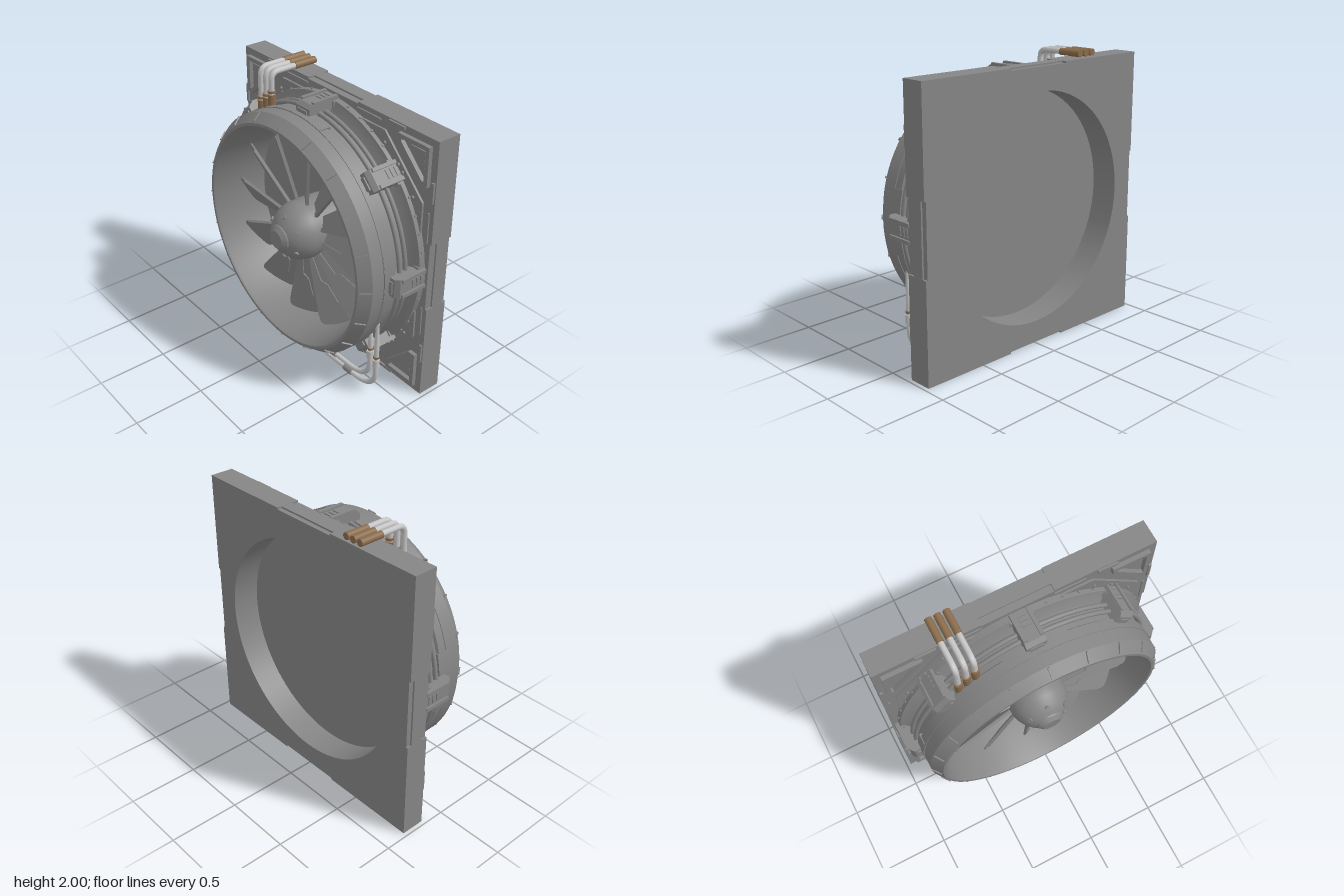
import * as THREE from 'three';
import { toCreasedNormals } from 'three/addons/utils/BufferGeometryUtils.js';

const mat = (name, color) => {
  const m = new THREE.MeshStandardMaterial({ color });
  m.name = name;
  return m;
};
const CY = 0.97; // height of the fan axis

export function createModel() {
  const metal = mat('grey metal', 0x858585);
  const steel = mat('light pipe steel', 0xc4c4c4);
  const bronze = mat('brown sleeve', 0x8a6c4c);

  const root = new THREE.Group();
  root.name = 'ductFan';
  const body = new THREE.Group(); // centred on the fan axis
  body.name = 'fanBody';
  body.position.y = CY;
  root.add(body);

  const add = (parent, name, geo, material, x = 0, y = 0, z = 0) => {
    const m = new THREE.Mesh(geo, material);
    m.name = name;
    m.position.set(x, y, z);
    parent.add(m);
    return m;
  };
  const box = (parent, name, w, h, d, x, y, z, m = metal) =>
    add(parent, name, new THREE.BoxGeometry(w, h, d), m, x, y, z);
  const shapeOf = pts => new THREE.Shape(pts.map(p => new THREE.Vector2(...p)));
  const extrude = (shape, depth, curveSegments = 48) =>
    new THREE.ExtrudeGeometry(shape, { depth, bevelEnabled: false, curveSegments });
  // Profile of [radius, z] turned about the z axis
  const turned = (pts, seg = 96) => toCreasedNormals(
    new THREE.LatheGeometry(pts.map(p => new THREE.Vector2(...p)), seg).rotateX(Math.PI / 2), 0.4);
  // Group turned to an angle about the fan axis; its +x points outwards
  const spoke = (name, angle) => {
    const g = new THREE.Group();
    g.name = name;
    g.rotation.z = angle;
    body.add(g);
    return g;
  };
  // Curved panel between two radii
  const arcPanel = (r0, r1, a, half, depth) => {
    const s = new THREE.Shape();
    s.absarc(0, 0, r1, a - half, a + half, false);
    s.absarc(0, 0, r0, a + half, a - half, true);
    return toCreasedNormals(extrude(s, depth, 16), 0.4);
  };

  // Square back plate with edge notches and round opening
  const side = [[0.97, -0.97], [0.97, -0.25], [0.957, -0.25], [0.957, 0.25], [0.97, 0.25]];
  const outline = [];
  for (let k = 0; k < 4; k++) for (const [x, y] of side) {
    const c = [1, 0, -1, 0][k], s = [0, 1, 0, -1][k];
    outline.push([x * c - y * s, x * s + y * c]);
  }
  const plate = shapeOf(outline);
  plate.holes.push(new THREE.Path().absarc(0, 0, 0.8, 0, Math.PI * 2, true));
  add(body, 'backPlate', toCreasedNormals(extrude(plate, 0.17), 0.4), metal, 0, 0, -0.33);

  // Raised octagonal panel on the plate
  const oct = shapeOf([[0.88, -0.52], [0.88, 0.52], [0.52, 0.88], [-0.52, 0.88],
    [-0.88, 0.52], [-0.88, -0.52], [-0.52, -0.88], [0.52, -0.88]]);
  oct.holes.push(new THREE.Path().absarc(0, 0, 0.82, 0, Math.PI * 2, true));
  add(body, 'octagonPanel', toCreasedNormals(extrude(oct, 0.02), 0.4), metal, 0, 0, -0.165);

  for (let k = 0; k < 4; k++) {
    const g = spoke('plateSide', k * Math.PI / 2);
    // Edge bar and front tabs
    box(g, 'edgeBar', 0.02, 0.5, 0.085, 0.959, 0, -0.2525);
    for (const s of [-1, 1]) {
      box(g, 'edgeTab', 0.02, 0.14, 0.02, 0.952, s * 0.62, -0.155);
      box(g, 'edgeStrip', 0.012, 0.22, 0.012, 0.93, s * 0.36, -0.156);
    }
    // Corner pocket frame with a small inner panel
    const frame = shapeOf([[0.92, 0.65], [0.92, 0.92], [0.65, 0.92], [0.65, 0.86], [0.86, 0.65]]);
    frame.holes.push(new THREE.Path([[0.89, 0.68], [0.875, 0.68], [0.68, 0.875], [0.68, 0.89], [0.89, 0.89]]
      .map(p => new THREE.Vector2(...p))));
    add(g, 'cornerFrame', extrude(frame, 0.035), metal, 0, 0, -0.165);
    add(g, 'cornerPanel', extrude(shapeOf([[0.87, 0.75], [0.87, 0.87], [0.75, 0.87]]), 0.012), metal, 0, 0, -0.162);
    for (const [x, y] of [[0.8, 0.53], [0.53, 0.8], [0.70, 0.66], [0.66, 0.70]])
      add(g, 'plateBolt', new THREE.CylinderGeometry(0.011, 0.011, 0.02, 10).rotateX(Math.PI / 2), metal, x, y, -0.142);
  }
  for (let i = 0; i < 4; i++) box(body, 'sideVent', 0.04, 0.022, 0.02, -0.92, -0.61 + i * 0.043, -0.155);

  // Duct: recess floor, flange, outer wall, lip and inner cone
  add(body, 'duct', turned([[0, -0.13], [0.8, -0.13], [0.8, -0.165], [0.93, -0.165], [0.93, -0.115],
    [0.895, -0.105], [0.85, -0.08], [0.85, 0.05], [0.867, 0.06], [0.867, 0.225], [0.81, 0.3], [0.79, 0.3],
    [0.782, 0.285], [0.74, 0], [0.725, -0.11], [0, -0.11]]), metal);
  add(body, 'ductBand', turned([[0.86, 0.12], [0.872, 0.12], [0.872, 0.132], [0.86, 0.132]]), metal);

  // Twin hoops round the neck
  for (const z of [0.005, -0.045])
    add(body, 'neckHoop', new THREE.TorusGeometry(0.872, 0.016, 10, 96), metal, 0, 0, z);

  // Flange rivets
  for (let k = 0; k < 48; k++)
    add(spoke('flangeRivet', (k + 0.5) * Math.PI / 24), 'rivet',
      new THREE.CylinderGeometry(0.009, 0.009, 0.012, 8).rotateZ(Math.PI / 2), metal, 0.932, 0, -0.138);

  // Ribs on the front chamfer
  for (let k = 0; k < 20; k++) {
    const rib = box(spoke('lipRib', Math.PI / 2 + k * Math.PI / 10), 'rib', 0.014, 0.012, 0.075, 0.842, 0, 0.262);
    rib.rotation.y = -0.64;
  }

  // Clamps and raised wall panels
  const clampShape = shapeOf([[0.83, -0.155], [0.94, -0.155], [0.94, 0.06], [0.915, 0.088], [0.83, 0.088]]);
  const clampGeo = extrude(clampShape, 0.14).translate(0, 0, -0.07).rotateX(Math.PI / 2);
  for (let k = 0; k < 8; k++) {
    const a = k * Math.PI / 4, g = spoke('clamp', a);
    add(g, 'clampBody', clampGeo, metal);
    for (const s of [-1, 1]) {
      box(g, 'clampRail', 0.02, 0.025, 0.2, 0.944, s * 0.057, -0.05);
      box(g, 'clampFoot', 0.05, 0.02, 0.05, 0.9, s * 0.075, -0.125);
    }
    for (const z of [-0.12, -0.085, -0.05]) box(g, 'clampSlat', 0.012, 0.06, 0.018, 0.941, 0, z);
    box(g, 'clampFace', 0.05, 0.09, 0.014, 0.875, 0, 0.09);
    if (k % 2 === 0) add(body, 'wallPanel', arcPanel(0.85, 0.874, a, 0.26, 0.09), metal, 0, 0, 0.04);
  }

  // Hub with stepped nose and bolts
  add(body, 'hub', turned([[0.2, -0.12], [0.208, 0.0], [0.208, 0.13], [0.195, 0.18], [0.165, 0.235],
    [0.125, 0.275], [0.1, 0.29], [0.095, 0.3], [0.065, 0.325], [0, 0.325]], 64), metal);
  for (let k = 0; k < 6; k++) {
    const bolt = add(spoke('hubBolt', Math.PI / 2 + k * Math.PI / 3), 'bolt',
      new THREE.CylinderGeometry(0.018, 0.018, 0.025, 12).rotateX(Math.PI / 2), metal, 0.15, 0, 0.25);
    bolt.rotation.y = 0.75;
  }

  // Twelve pitched blades, each with a stepped raised panel
  const blade = new THREE.Shape();
  blade.moveTo(0.17, -0.05);
  blade.lineTo(0.66, -0.135);
  blade.quadraticCurveTo(0.705, -0.14, 0.712, -0.09);
  blade.quadraticCurveTo(0.73, 0, 0.712, 0.09);
  blade.quadraticCurveTo(0.705, 0.14, 0.66, 0.135);
  blade.lineTo(0.17, 0.05);
  const bladeGeo = extrude(blade, 0.012, 6);
  const stepGeo = extrude(shapeOf([[0.17, -0.05], [0.64, -0.132], [0.66, -0.06], [0.57, 0.05], [0.43, 0.015],
    [0.39, -0.025], [0.17, -0.03]]), 0.014);
  for (let k = 0; k < 12; k++) {
    const g = spoke('blade', k * Math.PI / 6), pitched = new THREE.Group();
    pitched.name = 'pitchedBlade';
    pitched.rotation.x = -0.5;
    pitched.position.z = 0.05;
    g.add(pitched);
    add(pitched, 'bladePlate', bladeGeo, metal);
    add(pitched, 'bladeStep', stepGeo, metal, 0, 0, 0.008);
  }

  // Pipe through points with rounded corners
  const pipe = (name, pts, r, bend) => {
    const v = pts.map(p => new THREE.Vector3(...p)), path = new THREE.CurvePath();
    let from = v[0];
    for (let i = 1; i < v.length - 1; i++) {
      const toward = t => v[i].clone().add(t.clone().sub(v[i]).setLength(Math.min(bend, t.distanceTo(v[i]) * 0.49)));
      const a = toward(v[i - 1]), b = toward(v[i + 1]);
      path.add(new THREE.LineCurve3(from, a));
      path.add(new THREE.QuadraticBezierCurve3(a, v[i], b));
      from = b;
    }
    path.add(new THREE.LineCurve3(from, v[v.length - 1]));
    add(root, name, new THREE.TubeGeometry(path, 100, r, 12), steel);
  };
  const sleeve = (name, r, len, x, y, z, m, axis = 'y') => {
    const geo = new THREE.CylinderGeometry(r, r, len, 16);
    if (axis === 'x') geo.rotateZ(Math.PI / 2);
    if (axis === 'z') geo.rotateX(Math.PI / 2);
    add(root, name, geo, m, x, y, z);
  };

  // Three pipes over the top edge
  [-0.515, -0.455, -0.395].forEach((x, i) => {
    const y = 1.64 + i * 0.04;
    pipe('topPipe', [[x, y, 0.04], [x, 1.976, 0.04], [x, 1.976, -0.2]], 0.02, 0.06);
    sleeve('topSleeve', 0.0245, 0.175, x, 1.9755, -0.2425, bronze, 'z');
    sleeve('lowerSleeve', 0.027, 0.1, x, y + 0.05, 0.04, bronze);
    sleeve('sleeveRing', 0.029, 0.015, x, y + 0.12, 0.04, bronze);
  });

  // Two pipes along the bottom right, from the duct wall to the plate
  for (const [x, top, y, end, collar, ring] of [
    [0.725, 0.53, 0.095, -0.625, 0.34, 0.38], [0.785, 0.69, 0.045, -0.575, 0.51, 0.34]]) {
    pipe('lowerPipe', [[x, ring + 0.07, 0.09], [x, y, 0.09], [end, y, 0.09], [end, 0.045, 0.06], [end, 0.045, -0.16]]
      .filter((p, i) => !(i === 3 && y < 0.06)), 0.018, 0.2);
    add(root, 'pipeTip', new THREE.CylinderGeometry(0.011, 0.018, top - ring - 0.06, 12), steel, x, (top + ring + 0.06) / 2, 0.09);
    sleeve('pipeCollar', 0.024, 0.06, x, ring - 0.05, 0.09, steel);
    sleeve('pipeRing', 0.022, 0.015, x, ring, 0.09, bronze);
    sleeve('pipeJoint', 0.024, 0.08, collar, y, 0.09, metal, 'x');
    sleeve('pipeEndRing', 0.026, 0.02, end, 0.045, -0.11, bronze, 'z');
  }
  return root;
}
